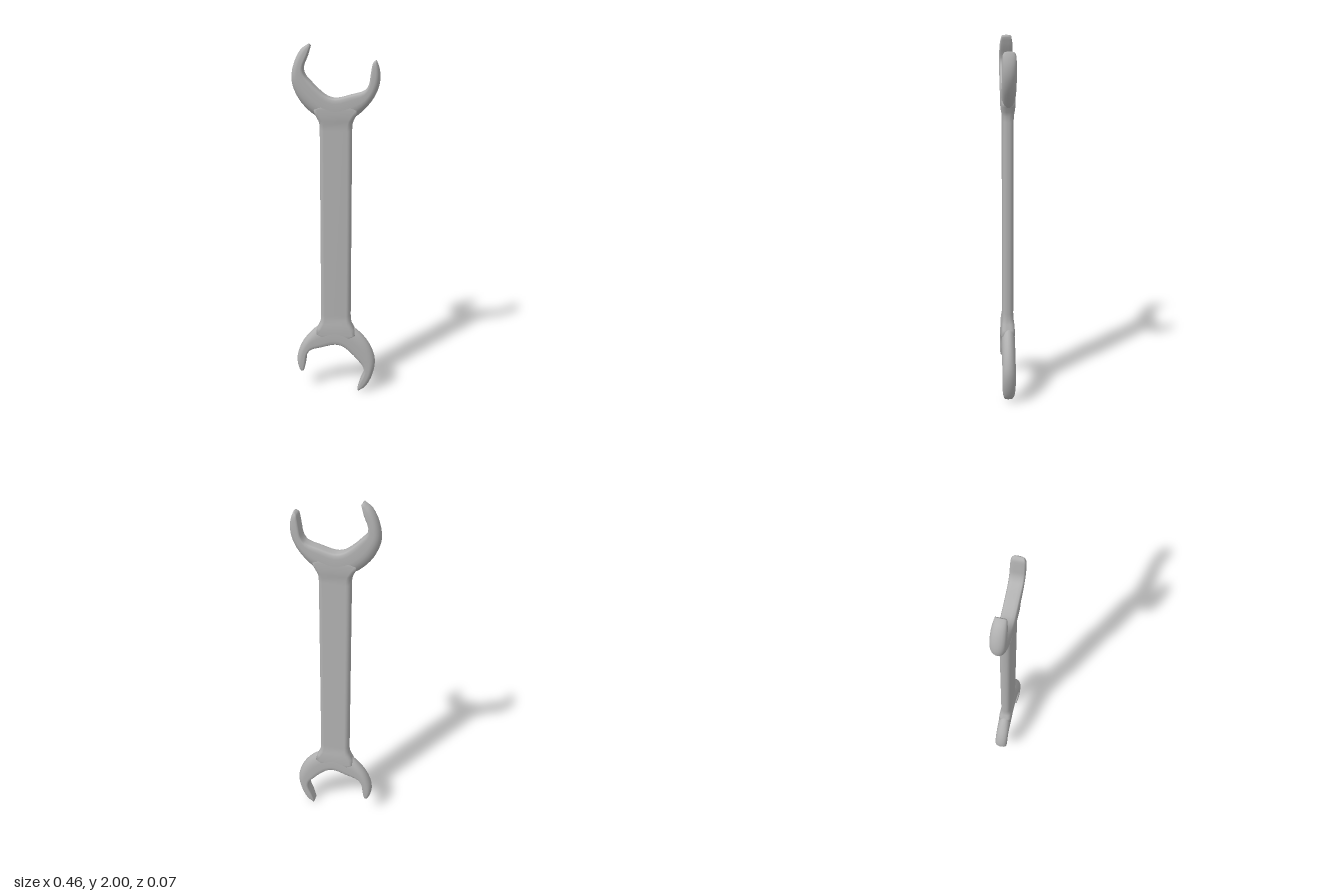
import * as THREE from 'three';

// Closed skin over a list of equal-length rings of Vector3, with capped ends
function loft(rings) {
  const n = rings[0].length, pos = [], idx = [];
  rings.forEach(r => r.forEach(p => pos.push(p.x, p.y, p.z)));
  for (let i = 0; i < rings.length - 1; i++) {
    for (let j = 0; j < n; j++) {
      const a = i * n + j, b = i * n + (j + 1) % n;
      idx.push(a, b, b + n, a, b + n, a + n);
    }
  }
  [0, rings.length - 1].forEach((ri, end) => {
    const c = pos.length / 3, mid = new THREE.Vector3();
    rings[ri].forEach(p => mid.addScaledVector(p, 1 / n));
    pos.push(mid.x, mid.y, mid.z);
    for (let j = 0; j < n; j++) {
      const a = ri * n + j, b = ri * n + (j + 1) % n;
      if (end) idx.push(c, a, b); else idx.push(c, b, a);
    }
  });
  const g = new THREE.BufferGeometry();
  g.setAttribute('position', new THREE.Float32BufferAttribute(pos, 3));
  g.setIndex(idx);
  g.computeVertexNormals();
  return g;
}

// Jaw stations from the long tip to the short tip: inner x, y, outer x, y, half thickness
const JAW = [
  [-0.130, 1.988, -0.140, 2.000, 0.026],
  [-0.145, 1.940, -0.180, 1.972, 0.034],
  [-0.168, 1.880, -0.217, 1.900, 0.037],
  [-0.160, 1.845, -0.230, 1.820, 0.037],
  [-0.125, 1.805, -0.207, 1.745, 0.037],
  [-0.095, 1.775, -0.165, 1.685, 0.037],
  [-0.045, 1.737, -0.100, 1.632, 0.037],
  [0.000, 1.727, 0.000, 1.600, 0.037],
  [0.075, 1.745, 0.100, 1.632, 0.037],
  [0.148, 1.768, 0.155, 1.680, 0.037],
  [0.170, 1.800, 0.195, 1.730, 0.037],
  [0.177, 1.840, 0.222, 1.790, 0.037],
  [0.183, 1.880, 0.228, 1.845, 0.036],
  [0.189, 1.908, 0.220, 1.890, 0.033],
  [0.199, 1.918, 0.208, 1.920, 0.024],
];

// Half of the jaw section: flat inside, round outside [across, thickness]
const HALF = [[0, 0.4], [0.01, 0.8], [0.07, 0.95], [0.2, 1], [0.5, 1], [0.66, 0.94], [0.8, 0.8], [0.92, 0.55], [0.99, 0.2]];
const SECTION = [...HALF, ...HALF.map(([t, z]) => [t, -z]).reverse()];

function jawGeometry(shortTipDrop) {
  const rows = JAW.map((r, i) => {
    const drop = i > 11 ? shortTipDrop * (i - 11) / 3 : 0;
    return [r[0], r[1] - 2 - drop, r[2], r[3] - 2 - drop, r[4]];
  });
  const inner = new THREE.CatmullRomCurve3(rows.map(r => new THREE.Vector3(r[0], r[1], r[4])));
  const outer = new THREE.CatmullRomCurve3(rows.map(r => new THREE.Vector3(r[2], r[3], r[4])));
  const steps = (rows.length - 1) * 3, rings = [];
  for (let i = 0; i <= steps; i++) {
    const a = inner.getPoint(i / steps), b = outer.getPoint(i / steps);
    rings.push(SECTION.map(([t, z]) => new THREE.Vector3(
      a.x + (b.x - a.x) * t, a.y + (b.y - a.y) * t, a.z * z)));
  }
  return loft(rings);
}

// Flat bar with rounded edges, flaring into both heads: y, half width, half thickness
function handleGeometry() {
  const top = [[1.56, 0.085, 0.029], [1.59, 0.086, 0.030], [1.612, 0.092, 0.034], [1.64, 0.107, 0.0365], [1.67, 0.12, 0.037], [1.705, 0.07, 0.0365]];
  const bottom = top.map(([y, w, d]) => [(2 - y) * 1.12, w, d]).reverse();
  const edge = 0.024;
  return loft([...bottom, ...top].map(([y, w, d]) => {
    const ring = [];
    for (let q = 0; q < 4; q++) {
      for (let k = 0; k <= 4; k++) {
        const a = (q + k / 4) * Math.PI / 2;
        const sx = q < 2 ? 1 : -1, sz = q === 0 || q === 3 ? 1 : -1;
        ring.push(new THREE.Vector3(
          sx * (w - edge) + Math.sin(a) * edge, y, sz * (d - edge) + Math.cos(a) * edge));
      }
    }
    return ring;
  }));
}

export function createModel() {
  const steel = new THREE.MeshStandardMaterial({ color: 0xb2b2b2 });
  steel.name = 'steel grey';
  const group = new THREE.Group();
  group.name = 'openEndWrench';
  const add = (name, geometry) => {
    const mesh = new THREE.Mesh(geometry, steel);
    mesh.name = name;
    group.add(mesh);
    return mesh;
  };

  add('handle', handleGeometry());
  add('upperJaw', jawGeometry(0)).position.y = 2;

  // Lower jaw is turned half round and a little longer
  const lower = add('lowerJaw', jawGeometry(0.025));
  lower.rotation.z = Math.PI;
  lower.scale.y = 1.12;
  return group;
}
